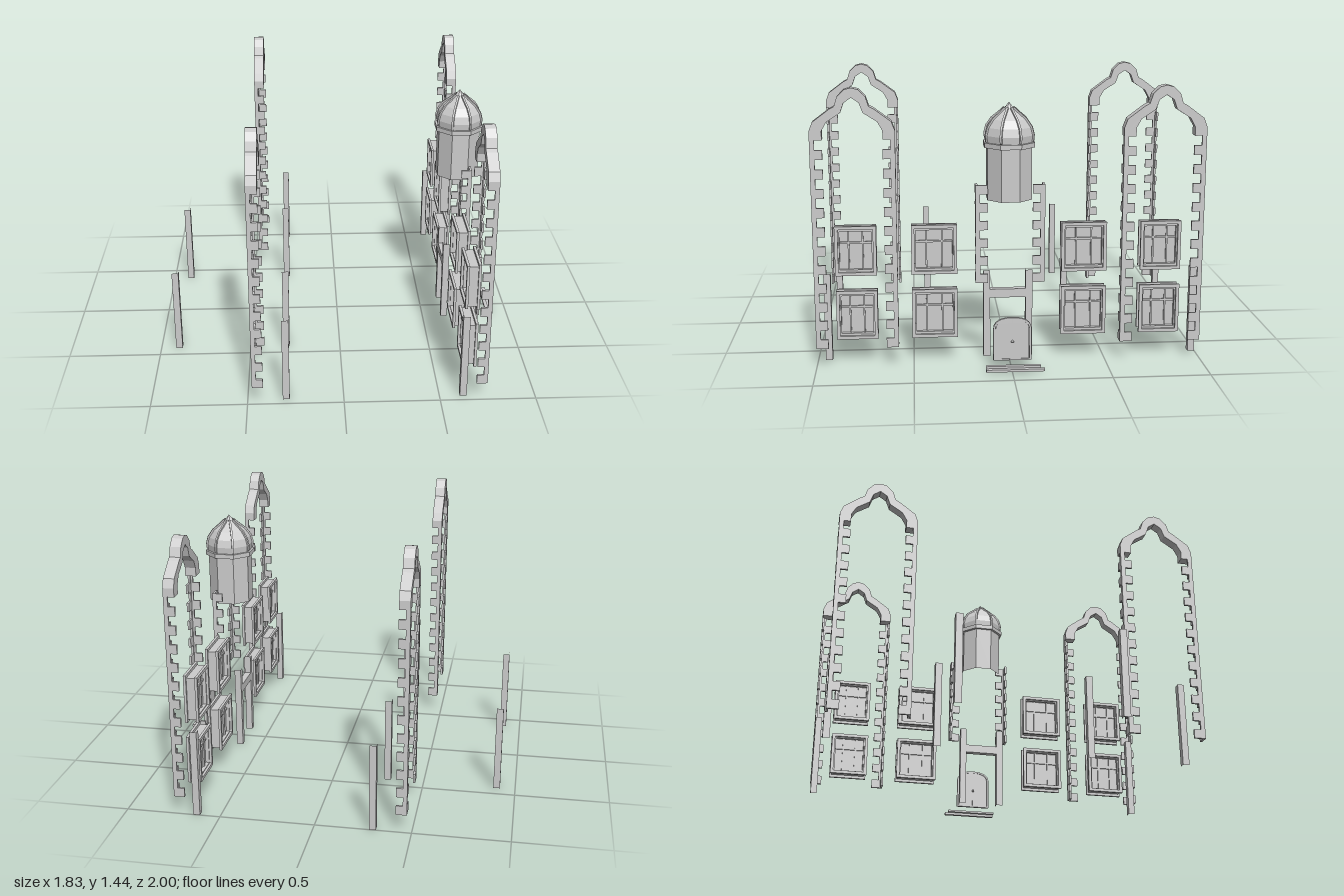
import * as THREE from 'three';

const grey = new THREE.MeshStandardMaterial({ color: 0xcccccc, flatShading: true });

function add(parent, name, geometry, x = 0, y = 0, z = 0) {
  const mesh = new THREE.Mesh(geometry, grey);
  mesh.name = name;
  mesh.position.set(x, y, z);
  parent.add(mesh);
  return mesh;
}

// Box given by its limits on each axis
function box(parent, name, x0, x1, y0, y1, z0, z1) {
  const g = new THREE.BoxGeometry(Math.abs(x1 - x0), Math.abs(y1 - y0), Math.abs(z1 - z0));
  return add(parent, name, g, (x0 + x1) / 2, (y0 + y1) / 2, (z0 + z1) / 2);
}

function group(parent, name, x = 0, y = 0, z = 0) {
  const g = new THREE.Group();
  g.name = name;
  g.position.set(x, y, z);
  parent.add(g);
  return g;
}

const outline = (pts) => new THREE.Shape(pts.map(([a, b]) => new THREE.Vector2(a, b)));

// Shape drawn in (z, y), thickened along x and centred on x = 0
function slab(shape, depth) {
  const g = new THREE.ExtrudeGeometry(shape, { depth, bevelEnabled: false, curveSegments: 6 });
  return g.translate(0, 0, -depth / 2).rotateY(-Math.PI / 2);
}

// Corner stones: L-shaped blocks, alternately long and short, running in sx and sz from the corner
function quoins(parent, name, x, z, sx, sz, y0, y1, count) {
  const g = group(parent, name);
  const t = 0.012, h = (y1 - y0) / count;
  for (let i = 0; i < count; i++) {
    const long = i % 2 === 0;
    const armX = long ? 0.057 : 0.022, armZ = long ? 0.063 : 0.024;
    const a = y0 + i * h, b = a + h;
    box(g, 'quoinFace', x, x + sx * t, a, b, z, z + sz * armZ);
    box(g, 'quoinReturn', x + sx * t, x + sx * armX, a, b, z, z + sz * t);
  }
}

// Stepped arch standing on two toothed legs; side is +1 or -1 for the outward x direction
function archSurround(parent, xOuter, side, z) {
  const g = group(parent, 'archSurround');
  const outer = [[0.212, 1.19], [0.212, 1.235], [0.195, 1.28], [0.108, 1.345], [0.085, 1.357], [0.07, 1.405], [0.035, 1.44]];
  const inner = [[0.15, 1.19], [0.15, 1.235], [0.125, 1.28], [0.055, 1.325], [0.037, 1.375]];
  const flip = (pts) => pts.map(([a, b]) => [-a, b]).reverse();
  const band = outline([...outer, [0, 1.449], ...flip(outer), ...flip(inner).reverse(), [0, 1.4], ...inner.slice().reverse()]);
  add(g, 'archBand', slab(band, 0.057), xOuter - side * 0.0285, 0, z);
  for (const s of [-1, 1]) quoins(g, 'archLeg', xOuter, z + s * 0.212, -side, -s, 0.103, 1.19, 22);
}

// Flat rectangular frame with an opening
function frame(w, h, border, depth) {
  const rect = (a, b) => [[-a, -b], [a, -b], [a, b], [-a, b]];
  const s = outline(rect(w / 2, h / 2));
  s.holes.push(outline(rect(w / 2 - border, h / 2 - border)));
  return slab(s, depth);
}

// Window: casing on both faces, sleeve between them, pane and glazing bars
function windowUnit(parent, y, z, w) {
  const h = 0.26;
  const g = group(parent, 'window', 0.66, y, z);
  add(g, 'outerCasing', frame(w, h, 0.017, 0.014), 0.03);
  add(g, 'innerCasing', frame(w, h - 0.014, 0.017, 0.014), -0.03);
  add(g, 'sleeve', frame(w - 0.02, h - 0.03, 0.014, 0.048));
  box(g, 'pane', -0.004, 0.004, -h / 2 + 0.02, h / 2 - 0.02, -w / 2 + 0.014, w / 2 - 0.014);
  for (const s of [-1, 1]) {
    box(g, 'uprightBar', -0.012, 0.012, -h / 2 + 0.02, h / 2 - 0.02, s * w * 0.17 - 0.004, s * w * 0.17 + 0.004);
  }
  box(g, 'crossBar', -0.012, 0.012, 0.034, 0.044, -w / 2 + 0.015, w / 2 - 0.015);
}

// Square post, open at both ends
function post(parent, x, z) {
  const g = new THREE.CylinderGeometry(0.0255, 0.0255, 0.47, 4, 1, true, Math.PI / 4);
  add(parent, 'post', g, x, 0.24, z);
}

// Eight-sided turret with a ribbed onion roof
function turret(parent) {
  const g = group(parent, 'turret', 0.68, 0, 0.003);
  const k = 1 / Math.cos(Math.PI / 8);
  const profile = [[0.116, 1.165], [0.119, 1.2], [0.109, 1.24], [0.083, 1.28], [0.048, 1.31], [0.022, 1.335], [0, 1.365]];
  const lathe = (pts) => new THREE.LatheGeometry(pts.map(([r, y]) => new THREE.Vector2(r * k, y)), 8, Math.PI / 8);
  add(g, 'turretWall', lathe([[0.113, 0.87], [0.113, 1.14]]));
  add(g, 'eave', lathe([[0.113, 1.14], [0.128, 1.14], [0.128, 1.165], [0.116, 1.165]]));
  add(g, 'onionRoof', lathe(profile));
  const top = profile.slice(0, 6).map(([r, y]) => [r * k + 0.006, y + 0.005]);
  const low = profile.slice(0, 6).map(([r, y]) => [r * k - 0.006, y - 0.003]).reverse();
  for (let i = 0; i < 8; i++) {
    const rib = new THREE.ExtrudeGeometry(outline([...low.slice().reverse(), ...top.slice().reverse()]), { depth: 0.011, bevelEnabled: false });
    rib.translate(0, 0, -0.0055);
    add(g, 'roofRib', rib).rotation.y = Math.PI / 8 + i * Math.PI / 4;
  }
}

// Round-topped double door with a knob on each face
function door(parent) {
  const g = group(parent, 'door', 0.838, 0, -0.003);
  const leaf = (w, y0, side, top) => {
    const s = new THREE.Shape();
    s.moveTo(-w, y0);
    s.lineTo(w, y0);
    s.lineTo(w, side);
    s.bezierCurveTo(w, side + (top - side) * 0.7, w * 0.6, top, 0, top);
    s.bezierCurveTo(-w * 0.6, top, -w, side + (top - side) * 0.7, -w, side);
    s.closePath();
    return s;
  };
  add(g, 'doorLeaf', slab(leaf(0.086, 0.056, 0.22, 0.272), 0.01));
  const rim = leaf(0.098, 0.054, 0.22, 0.282);
  rim.holes.push(leaf(0.088, 0.062, 0.22, 0.272));
  add(g, 'doorRim', slab(rim, 0.016));
  box(g, 'doorSeam', -0.007, 0.007, 0.058, 0.272, -0.003, 0.003);
  for (const s of [-1, 1]) add(g, 'doorKnob', new THREE.SphereGeometry(0.008, 8, 6), s * 0.011, 0.155, 0);
}

export function createModel() {
  const model = new THREE.Group();
  model.name = 'houseTrim';

  // Tall arch surrounds on both long sides
  for (const z of [-0.788, 0.788]) {
    archSurround(model, 0.742, 1, z);
    archSurround(model, -0.475, -1, z);
  }

  // Two storeys of windows
  for (const y of [0.265, 0.607]) {
    for (const s of [-1, 1]) {
      windowUnit(model, y, s * 0.388, 0.235);
      windowUnit(model, y, s * 0.789, 0.212);
    }
  }

  // Corner stones of the entrance bay
  for (const s of [-1, 1]) quoins(model, 'bayQuoins', 0.742, s * 0.178, -1, -s, 0.438, 0.95, 11);

  // Posts
  const places = [[0.625, 0.943], [0.625, 0.115], [0.625, -0.107], [0.625, -0.982],
    [-0.3, 0.943], [-0.3, 0.415], [-0.3, -0.415], [-0.3, -0.982], [-0.9, 0.415], [-0.9, -0.415]];
  for (const [x, z] of places) post(model, x, z);
  box(model, 'porchLintel', 0.607, 0.643, 0.327, 0.373, -0.09, 0.098);

  turret(model);
  door(model);

  // Entrance steps
  box(model, 'upperStep', 0.872, 0.893, 0.029, 0.04, -0.145, 0.135);
  box(model, 'lowerStep', 0.893, 0.915, 0.016, 0.029, -0.163, 0.135);
  return model;
}
